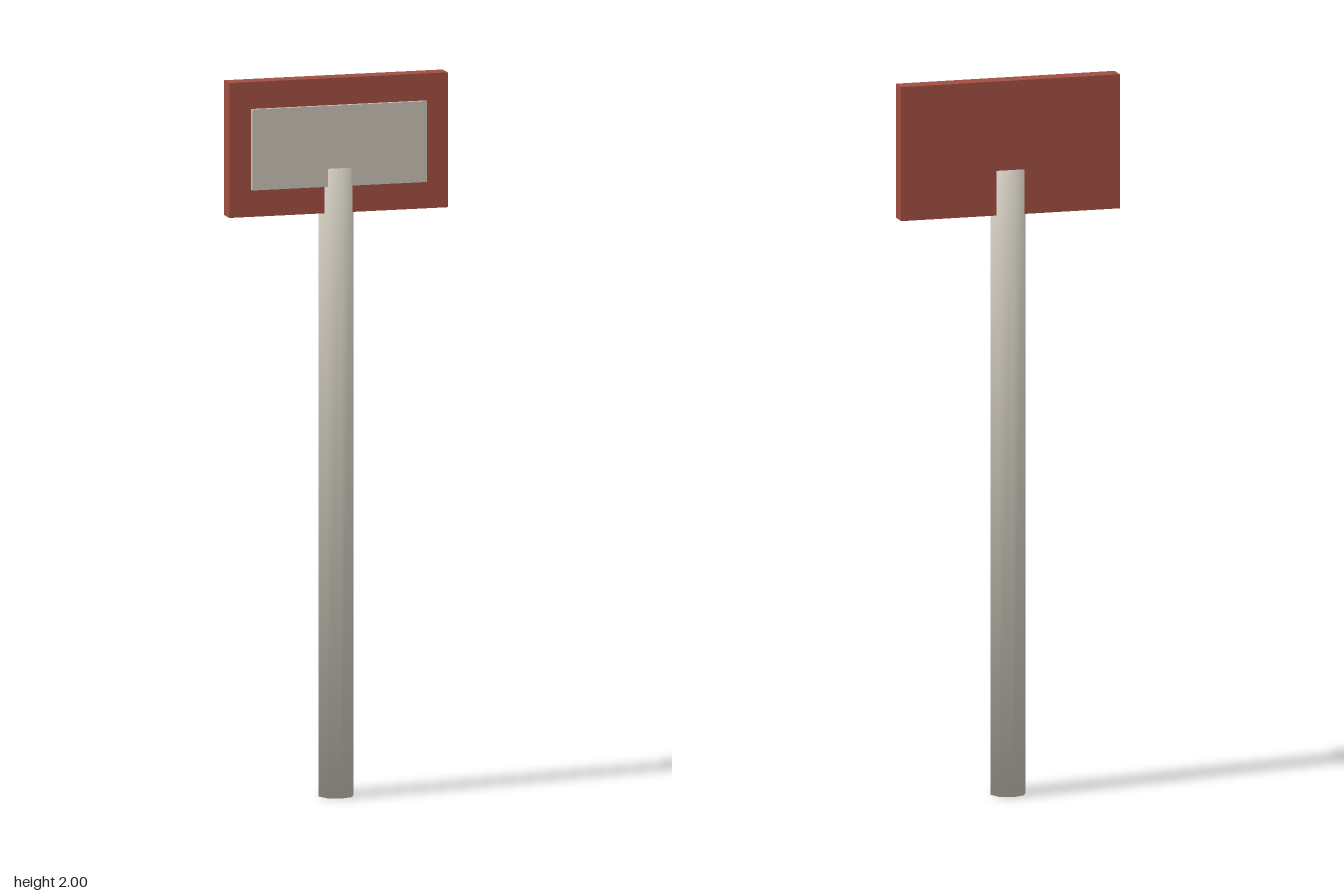
import * as THREE from 'three';

const brick = new THREE.MeshStandardMaterial({ name: 'brick red', color: 0xa04f42 });
const stone = new THREE.MeshStandardMaterial({ name: 'pale stone', color: 0xc8c3b7 });

function addMesh(group, name, geometry, material, x, y, z) {
  const mesh = new THREE.Mesh(geometry, material);
  mesh.name = name;
  mesh.position.set(x, y, z);
  group.add(mesh);
}

// Eight-sided post whose smooth normals run over the rims into both caps
function postGeometry(radius, height) {
  const geometry = new THREE.CylinderGeometry(radius, radius, height, 8);
  const { position, normal } = geometry.attributes;
  const n = new THREE.Vector3();
  for (let i = 0; i < position.count; i++) {
    n.fromBufferAttribute(position, i);
    const up = Math.sign(n.y) * 0.8;
    n.set(n.x / radius, up, n.z / radius).normalize();
    normal.setXYZ(i, n.x, n.y, n.z);
  }
  return geometry;
}

export function createModel() {
  const model = new THREE.Group();
  model.name = 'signpost';

  // Post runs up through the lower part of the board
  addMesh(model, 'post', postGeometry(0.05, 1.75), stone, 0, 0.875, 0);

  // Board and the raised blank panel on its front
  addMesh(model, 'board', new THREE.BoxGeometry(0.625, 0.375, 0.05), brick, 0, 1.8125, 0);
  addMesh(model, 'panel', new THREE.BoxGeometry(0.5, 0.225, 0.025), stone, 0, 1.8125, 0.0235);

  return model;
}
